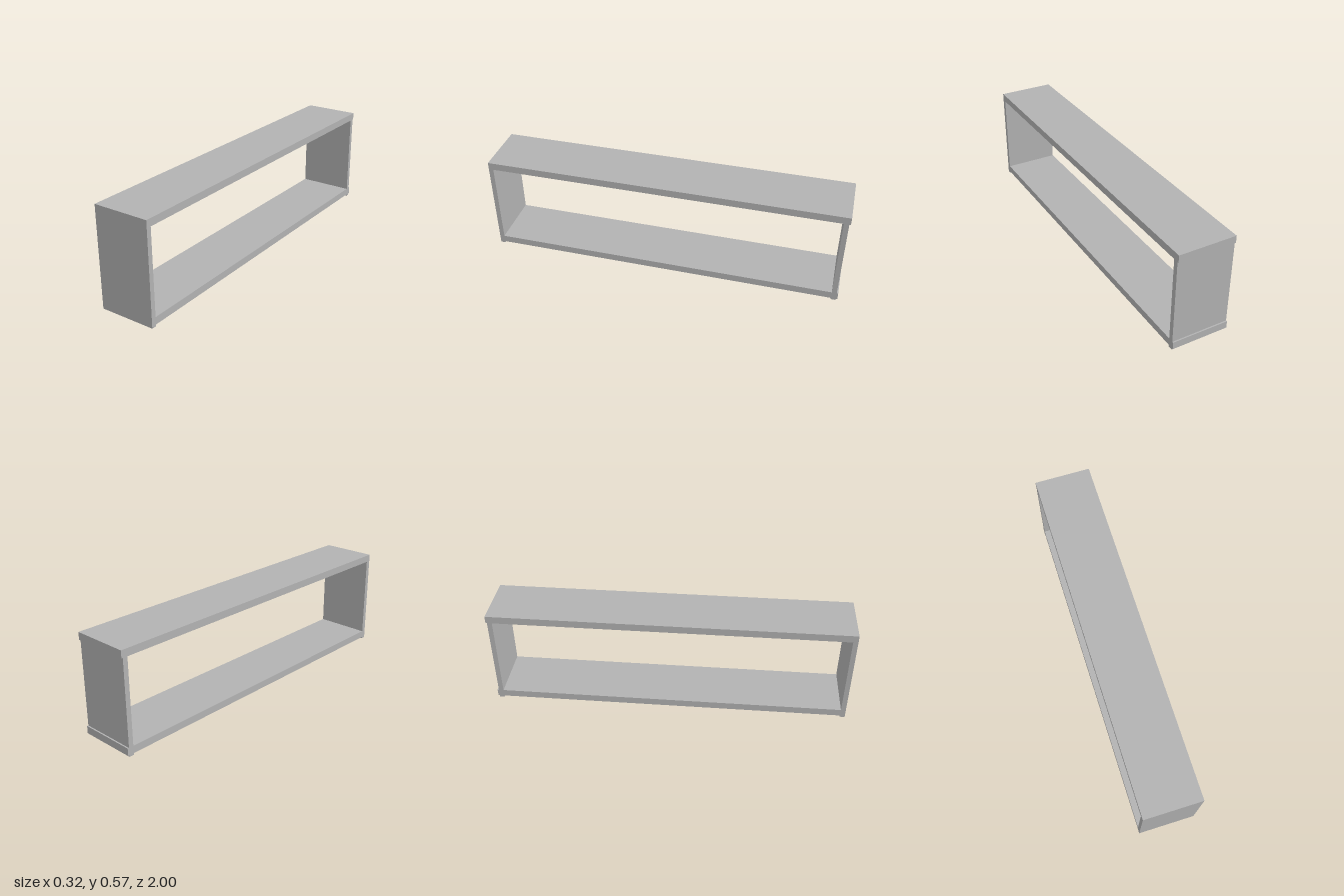
import * as THREE from 'three';

export function createModel() {
  const group = new THREE.Group();
  const grey = new THREE.MeshStandardMaterial({ color: 0xb2b2b2 });
  grey.name = 'plain grey';
  const width = 0.32;

  // Flat board spanning the full width, given by its y and z limits
  function board(name, y0, y1, z0, z1) {
    const mesh = new THREE.Mesh(new THREE.BoxGeometry(width, y1 - y0, z1 - z0), grey);
    mesh.name = name;
    mesh.position.set(0, (y0 + y1) / 2, (z0 + z1) / 2);
    group.add(mesh);
  }

  // Long horizontal shelves
  board('topBoard', 0.525, 0.566, -1, 1);
  board('bottomBoard', 0.009, 0.05, -1, 0.973);

  // Upright ends: the front one is flush, the back one slightly recessed
  board('frontPanel', 0, 0.525, 0.973, 1);
  board('backPanel', 0, 0.525, -0.992, -0.965);

  return group;
}
